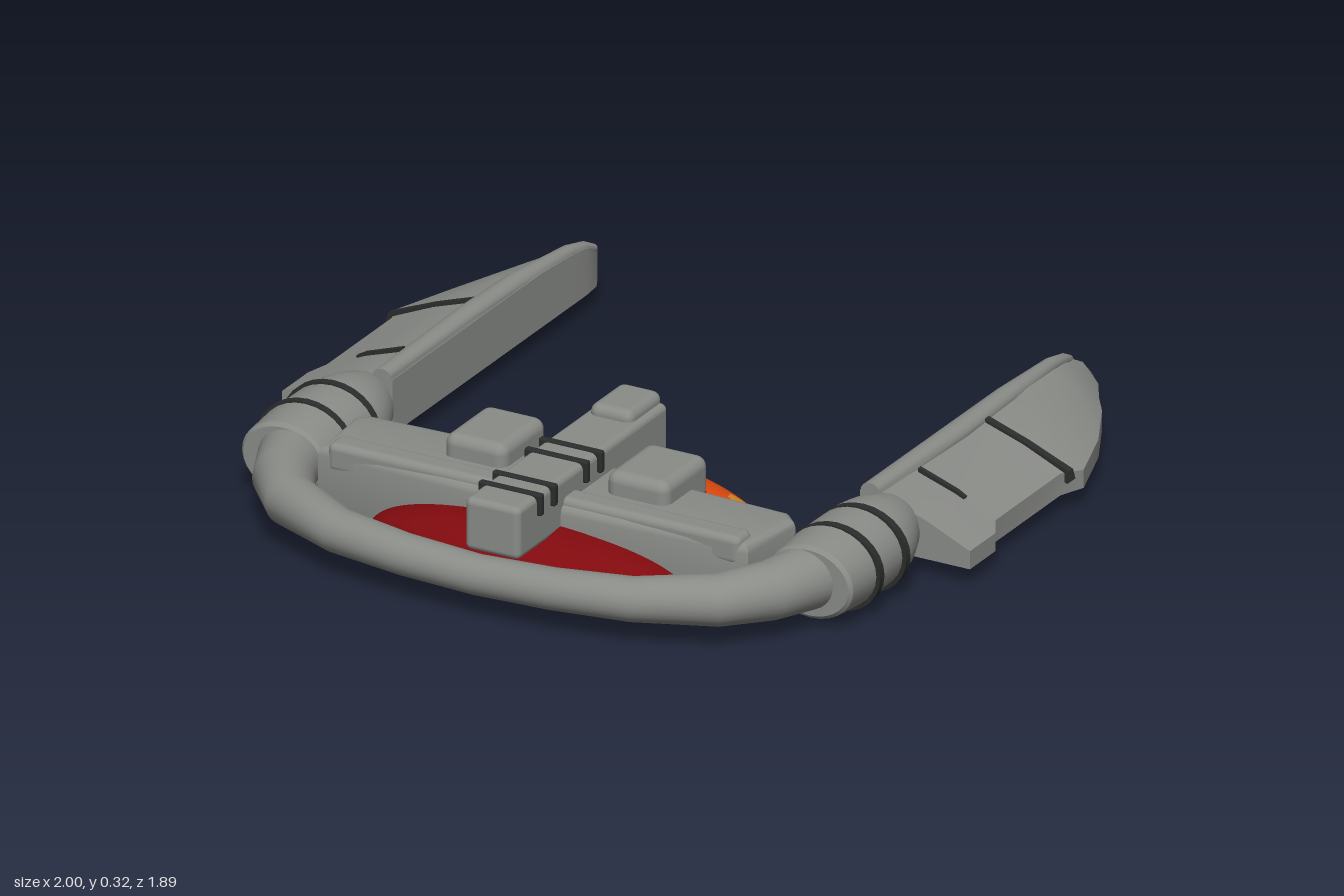
import * as THREE from 'three';
import { toCreasedNormals } from 'three/addons/utils/BufferGeometryUtils.js';
import { RoundedBoxGeometry } from 'three/addons/geometries/RoundedBoxGeometry.js';

const mat = (name, color) => {
  const m = new THREE.MeshStandardMaterial({ color });
  m.name = name;
  return m;
};
const V = (x, y, z) => new THREE.Vector3(x, y, z);

// Closed solid through a list of rings; winding is fixed by signed volume.
function loft(rings, crease = 0.6) {
  const tris = [];
  const n = rings[0].length;
  for (let i = 0; i < rings.length - 1; i++) {
    for (let j = 0; j < n; j++) {
      const k = (j + 1) % n;
      const a = rings[i][j], b = rings[i][k], c = rings[i + 1][k], d = rings[i + 1][j];
      tris.push([a, b, c], [a, c, d]);
    }
  }
  const cap = (ring, flip) => {
    const mid = ring.reduce((s, p) => s.add(p), V(0, 0, 0)).divideScalar(n);
    ring.forEach((p, j) => {
      const q = ring[(j + 1) % n];
      tris.push(flip ? [mid, q, p] : [mid, p, q]);
    });
  };
  cap(rings[0], true);
  cap(rings[rings.length - 1], false);
  const volume = tris.reduce((s, [a, b, c]) => s + a.dot(b.clone().cross(c)), 0);
  const pts = tris.flatMap(t => (volume < 0 ? [t[0], t[2], t[1]] : t));
  return toCreasedNormals(new THREE.BufferGeometry().setFromPoints(pts), crease);
}

// Ellipse around a centre; its width runs along the given horizontal direction.
function ellipse(center, rx, ry, side = V(1, 0, 0), n = 28) {
  return Array.from({ length: n }, (_, i) => {
    const a = (i / n) * Math.PI * 2;
    return center.clone().addScaledVector(side, Math.cos(a) * rx).add(V(0, Math.sin(a) * ry, 0));
  });
}

export function createModel() {
  const root = new THREE.Group();
  root.name = 'spacecraft';
  const grey = mat('hullGrey', 0x8a8c88);
  const dark = mat('bandBlack', 0x2b2c2c);
  const red = mat('domeRed', 0xa80c0e);
  const deepRed = mat('deepRed', 0x800a0e);
  const orange = mat('glowOrange', 0xe04a10);
  const amber = mat('glowAmber', 0xdd8c20);
  const yellow = mat('glowYellow', 0xe6cc58);

  const add = (name, geometry, material, x = 0, y = 0, z = 0, parent = root) => {
    const m = new THREE.Mesh(geometry, material);
    m.name = name;
    m.position.set(x, y, z);
    parent.add(m);
    return m;
  };
  const box = (name, w, h, d, r, material, x, y, z) =>
    add(name, new RoundedBoxGeometry(w, h, d, 3, r), material, x, y, z);

  // Front hoop, thinner at the middle: x, z, radius
  const half = [[0.765, 0.42, 0.09], [0.75, 0.52, 0.088], [0.705, 0.64, 0.08],
    [0.62, 0.75, 0.071], [0.425, 0.845, 0.061], [0.215, 0.88, 0.057]];
  const path = [...half.map(([x, z, r]) => [-x, z, r]), [0, 0.89, 0.055], ...half.slice().reverse()];
  add('frontHoop', loft(path.map(([x, z, r], i) => {
    const p = path[Math.max(i - 1, 0)], q = path[Math.min(i + 1, path.length - 1)];
    const side = V(-(q[1] - p[1]), 0, q[0] - p[0]).normalize();
    return ellipse(V(x, 0.11 + 0.02 * Math.abs(x), z), r, r * 0.95, side);
  }), 0.9), grey);

  // Wing stations: z, inner x, outer x, inner top y, outer top y
  const stations = [[0.13, 0.68, 1, 0.2, 0.1], [0, 0.68, 1, 0.2, 0.1], [-0.05, 0.68, 0.972, 0.2, 0.11],
    [-0.38, 0.68, 0.972, 0.2, 0.11], [-0.45, 0.68, 1, 0.2, 0.1], [-0.63, 0.68, 0.94, 0.2, 0.1],
    [-0.78, 0.68, 0.865, 0.19, 0.105], [-0.86, 0.68, 0.81, 0.18, 0.1],
    [-0.92, 0.685, 0.775, 0.157, 0.1], [-0.95, 0.7, 0.757, 0.14, 0.09]];

  for (const s of [1, -1]) {
    const wing = new THREE.Group();
    wing.name = s > 0 ? 'leftWing' : 'rightWing';
    root.add(wing);
    const put = (name, rings, material, crease) =>
      add(name, loft(rings.map(r => r.map(p => V(p.x * s, p.y, p.z))), crease), material, 0, 0, 0, wing);

    put('wingBlade', stations.map(([z, xi, xo, yt, yo]) => {
      const w = xo - xi;
      return [V(xi, 0.05, z), V(xo, 0.05, z), V(xo, yo, z),
        V(xi + 0.6 * w, yo + 0.57 * (yt - yo), z), V(xi + 0.2 * w, yt, z), V(xi, yt, z)];
    }), grey, 0.5);

    // Rounded spine along the inner edge
    put('wingRidge', [[0.13, 0.028, 0.2], [-0.3, 0.034, 0.2], [-0.55, 0.03, 0.198], [-0.8, 0.02, 0.187],
      [-0.88, 0.016, 0.172], [-0.92, 0.01, 0.157]]
      .map(([z, r, y]) => ellipse(V(0.682 + r, y, z), r, Math.min(r, 0.025), V(1, 0, 0), 16)), grey);

    // Stripes laid across the blade
    put('wideStripe', [-0.392, -0.413].map(z => [V(0.74, 0.15, z), V(0.985, 0.08, z), V(0.997, 0.09, z),
      V(0.99, 0.115, z), V(0.86, 0.168, z), V(0.745, 0.207, z)]), dark);
    put('shortStripe', [-0.044, -0.058].map(z => [V(0.75, 0.18, z), V(0.88, 0.145, z),
      V(0.885, 0.155, z), V(0.86, 0.169, z), V(0.75, 0.207, z)]), dark);

    // Coupling between hoop and wing
    put('coupling', [[0.12, 0.083, 0.083], [0.135, 0.092, 0.09], [0.2, 0.119, 0.106], [0.25, 0.13, 0.11],
      [0.42, 0.131, 0.111], [0.53, 0.124, 0.1], [0.54, 0.115, 0.09]]
      .map(([z, rx, ry]) => ellipse(V(0.765, 0.12, z), rx, ry)), grey);
    for (const z of [0.28, 0.413]) {
      put('couplingBand', [-0.011, 0.011].map(d => ellipse(V(0.77, 0.118, z + d), 0.137, 0.117)), dark);
    }
  }

  // Cross hull from a bevelled plan outline (plan y is -z)
  const cx = 0.01;
  const right = [[0.15, -0.37], [0.2, -0.385], [0.6, -0.4], [0.62, -0.42], [0.605, -0.6], [0.2, -0.617]];
  const outline = [...right, ...right.slice().reverse().map(([x, y]) => [-x, y])];
  const hull = new THREE.ExtrudeGeometry(new THREE.Shape(outline.map(p => new THREE.Vector2(...p))), {
    depth: 0.15, bevelThickness: 0.023, bevelSize: 0.022, bevelSegments: 3 });
  hull.rotateX(-Math.PI / 2);
  add('crossHull', toCreasedNormals(hull, 0.6), grey, cx, 0.05, 0);
  box('hullFrontBar', 1.2, 0.08, 0.075, 0.02, grey, cx, 0.2, 0.588);

  // Top pods
  for (const s of [1, -1]) box('topPod', 0.18, 0.12, 0.225, 0.03, grey, cx + s * 0.236, 0.224, 0.402);

  // Central beam, cap and bands
  box('centralBeam', 0.16, 0.145, 0.765, 0.018, grey, 0.02, 0.223, 0.47);
  box('beamRearLeg', 0.155, 0.18, 0.13, 0.018, grey, 0.02, 0.2, 0.155);
  box('beamCap', 0.125, 0.07, 0.17, 0.025, grey, 0.02, 0.29, 0.167);
  for (const z of [0.443, 0.515, 0.68, 0.75]) box('beamBand', 0.184, 0.06, 0.02, 0.006, dark, 0.02, 0.272, z);

  // Flat-bottomed domes; the rear one is painted by face inside oval patches
  const dome = (name, x, y, z, rx, ry, rz, materials, pick) => {
    const g = new THREE.SphereGeometry(1, 128, 48, 0, Math.PI * 2, 0, Math.PI / 2);
    g.scale(rx, ry, rz).translate(x, y, z);
    const p = g.attributes.position, old = g.index.array;
    const bins = materials.map(() => []);
    for (let i = 0; i < old.length; i += 3) {
      const t = [old[i], old[i + 1], old[i + 2]];
      const mean = f => (f(t[0]) + f(t[1]) + f(t[2])) / 3;
      bins[pick(mean(k => p.getX(k)), mean(k => p.getZ(k)))].push(...t);
    }
    g.setIndex(bins.flat());
    let start = 0;
    bins.forEach((b, i) => {
      g.addGroup(start, b.length, i);
      start += b.length;
    });
    add(name, g, materials);
    const base = new THREE.CircleGeometry(1, 64).rotateX(Math.PI / 2).scale(rx, 1, rz);
    add(name + 'Base', base, materials[0], x, y, z);
  };
  // Patches, topmost first: material index, x, z, radius x, radius z, tilt
  const patches = [[3, -0.335, 0.178, 0.06, 0.022, -0.3], [2, -0.3, 0.178, 0.125, 0.052, -0.3],
    [2, 0.4, 0.24, 0.042, 0.028, 0.4], [1, 0.36, 0.235, 0.12, 0.065, 0.3], [1, -0.24, 0.21, 0.2, 0.125, -0.15]];
  dome('rearDome', 0.013, 0.06, 0.3, 0.493, 0.15, 0.21, [red, orange, amber, yellow], (x, z) => {
    const hit = patches.find(([, px, pz, a, b, t]) => {
      const dx = x - px, dz = z - pz, c = Math.cos(t), s = Math.sin(t);
      return Math.hypot((dx * c + dz * s) / a, (dz * c - dx * s) / b) < 1;
    });
    return hit ? hit[0] : 0;
  });
  dome('frontDome', 0.01, 0.05, 0.64, 0.46, 0.12, 0.17, [deepRed], () => 0);

  return root;
}
